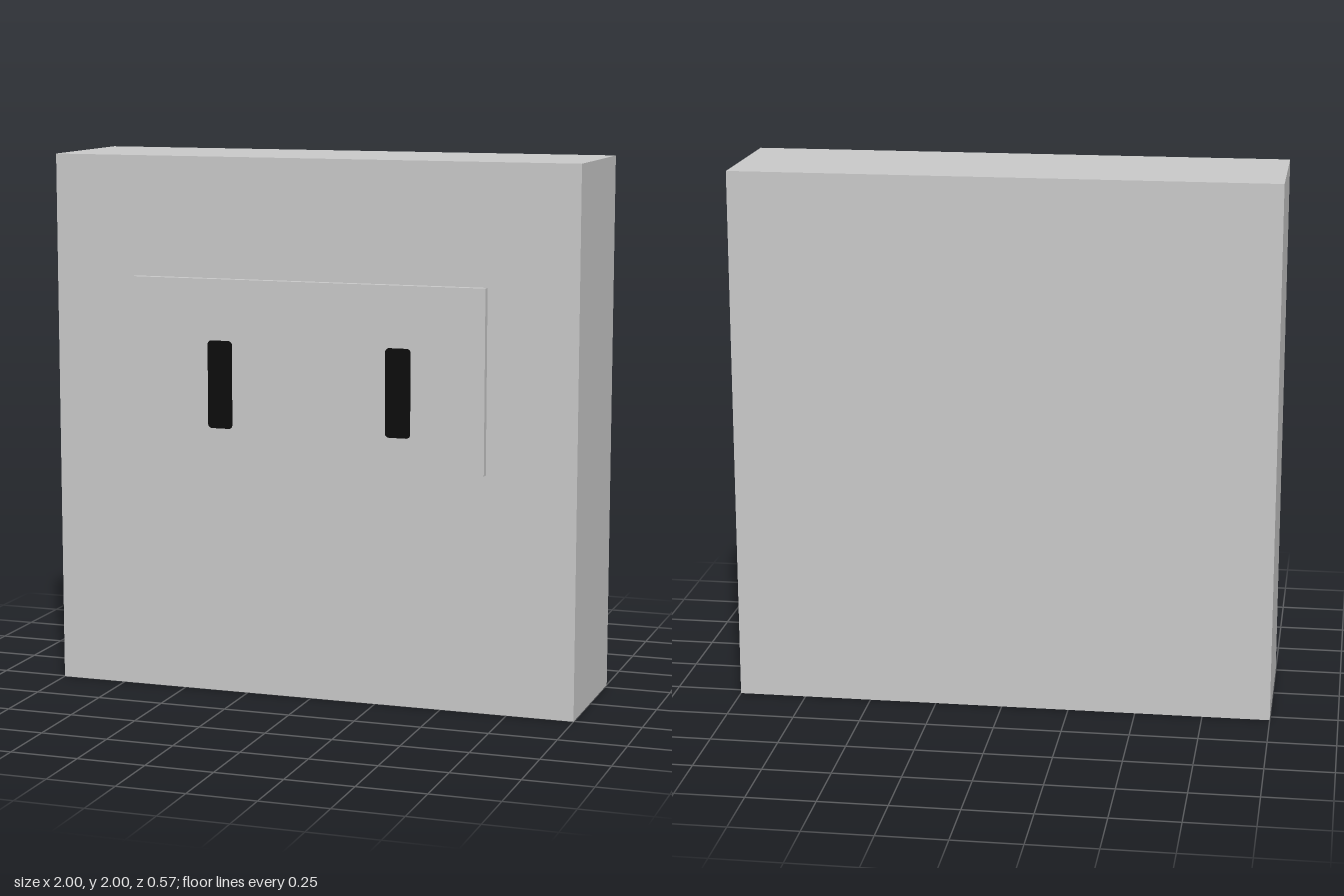
import * as THREE from 'three';

export function createModel() {
  const group = new THREE.Group();
  const grey = new THREE.MeshStandardMaterial({ color: 0xcacaca });
  grey.name = 'light grey';
  const black = new THREE.MeshStandardMaterial({ color: 0x0d0d0d });
  black.name = 'black';

  const add = (name, geometry, material, x, y, z) => {
    const mesh = new THREE.Mesh(geometry, material);
    mesh.name = name;
    mesh.position.set(x, y, z);
    group.add(mesh);
  };

  // Main block and the slightly off-centre raised face panel
  add('body', new THREE.BoxGeometry(2, 2, 0.54), grey, 0, 1, -0.014);
  add('facePanel', new THREE.BoxGeometry(1.35, 0.675, 0.028), grey, -0.01, 1.218, 0.27);

  // Upright eye plate with small rounded corners
  const w = 0.0475, h = 0.163, r = 0.015;
  const outline = new THREE.Shape();
  outline.moveTo(-w + r, -h);
  outline.lineTo(w - r, -h);
  outline.absarc(w - r, -h + r, r, -Math.PI / 2, 0);
  outline.absarc(w - r, h - r, r, 0, Math.PI / 2);
  outline.absarc(-w + r, h - r, r, Math.PI / 2, Math.PI);
  outline.absarc(-w + r, -h + r, r, Math.PI, Math.PI * 1.5);
  const eye = new THREE.ExtrudeGeometry(outline, { depth: 0.004, bevelEnabled: false, curveSegments: 4 });

  for (const side of [-1, 1]) {
    add(side > 0 ? 'leftEye' : 'rightEye', eye, black, side * 0.342, 1.166, 0.282);
  }
  return group;
}
